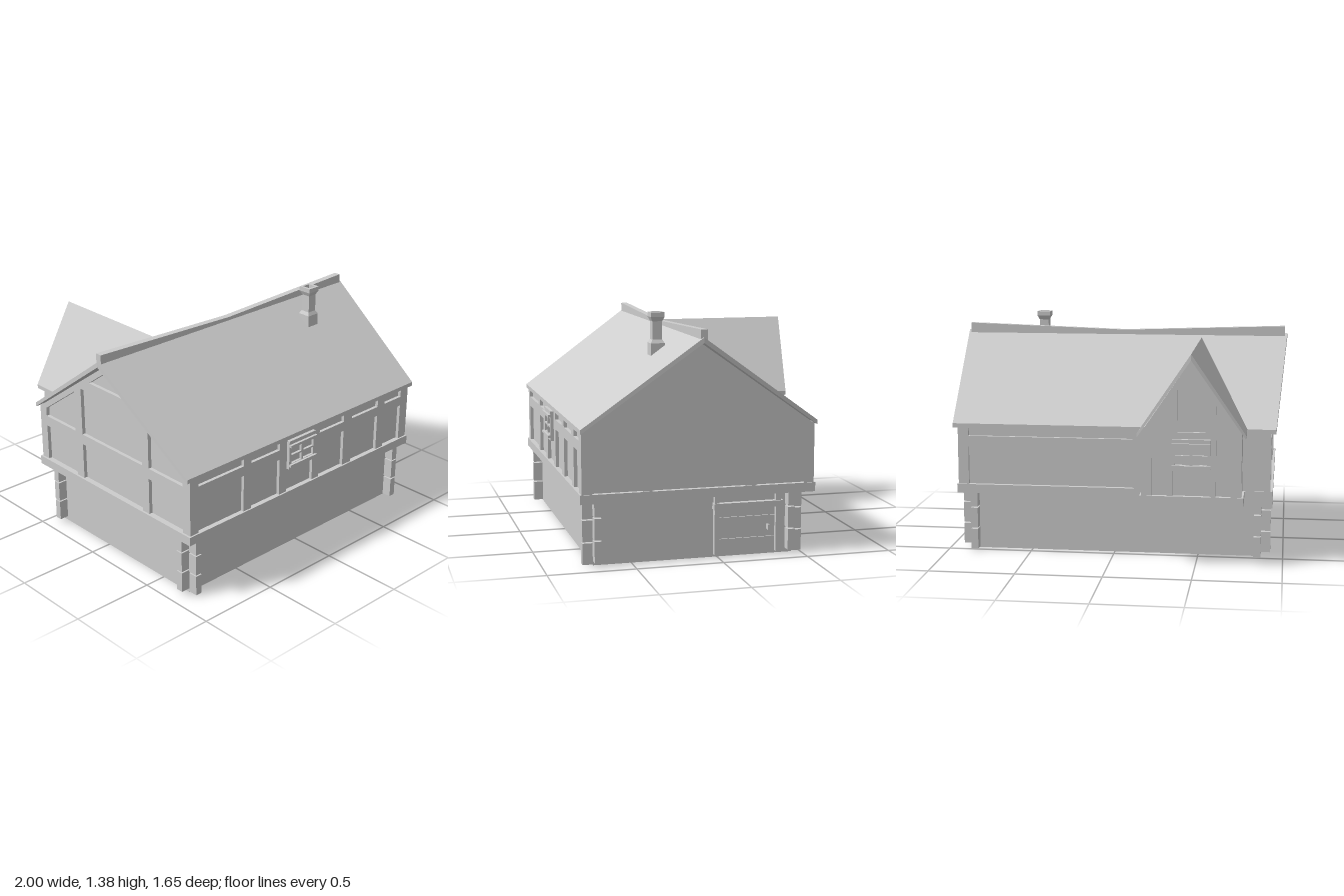
import * as THREE from 'three';

const grey = new THREE.MeshStandardMaterial({ color: 0xcccccc });
grey.name = 'plain grey';

function add(parent, name, geo) {
  const mesh = new THREE.Mesh(geo, grey);
  mesh.name = name;
  parent.add(mesh);
  return mesh;
}

// box given by its minimum and maximum on each axis
function box(parent, name, x0, x1, y0, y1, z0, z1) {
  const mesh = add(parent, name, new THREE.BoxGeometry(x1 - x0, y1 - y0, z1 - z0));
  mesh.position.set((x0 + x1) / 2, (y0 + y1) / 2, (z0 + z1) / 2);
  return mesh;
}

const toPoints = (pts) => pts.map(([a, b]) => new THREE.Vector2(a, b));
const rect = (a0, a1, b0, b1) => [[a0, b0], [a1, b0], [a1, b1], [a0, b1]];

function slab(outline, holes, depth) {
  const shape = new THREE.Shape(toPoints(outline));
  for (const h of holes) shape.holes.push(new THREE.Path(toPoints(h)));
  return new THREE.ExtrudeGeometry(shape, { depth, bevelEnabled: false });
}

// rewrite every vertex by a rule
function warp(geo, rule) {
  const p = geo.attributes.position;
  for (let i = 0; i < p.count; i++) p.setXYZ(i, ...rule(p.getX(i), p.getY(i), p.getZ(i)));
  geo.computeVertexNormals();
  return geo;
}

const RIDGE_Z = 0.117;
const gableTop = (z) => 1.24 - 0.71 * Math.abs(z - RIDGE_Z);
const DORMER_X = -0.475;
const dormerTop = (u) => 1.21 - 1.475 * Math.abs(u);

// window facing local +z, centred on x
function makeWindow() {
  const g = new THREE.Group();
  g.name = 'window';
  box(g, 'windowPane', -0.105, 0.105, 0.57, 0.75, -0.02, 0.004);
  const panes = [];
  for (const x of [-0.092, 0.008])
    for (const y of [0.605, 0.66]) panes.push(rect(x, x + 0.084, y, y + 0.045));
  add(g, 'windowFrame', slab(rect(-0.11, 0.11, 0.57, 0.752), panes, 0.02));
  box(g, 'windowSill', -0.11, 0.11, 0.588, 0.603, 0, 0.035);
  box(g, 'windowLintel', -0.11, 0.11, 0.714, 0.73, 0, 0.035);
  return g;
}

export function createModel() {
  const house = new THREE.Group();
  house.name = 'house';

  // ground floor walls, open underneath
  const ground = new THREE.Group();
  ground.name = 'groundFloor';
  house.add(ground);
  box(ground, 'frontWall', -0.87, 0.865, 0.005, 0.37, 0.71, 0.72);
  box(ground, 'backWall', -0.87, 0.865, 0.005, 0.37, -0.45, -0.44);
  box(ground, 'leftWall', 0.855, 0.865, 0.005, 0.37, -0.45, 0.72);
  box(ground, 'rightWall', -0.87, -0.86, 0.005, 0.37, -0.45, 0.72);

  // two staggered columns of stones at each corner
  const span = (a, b) => [Math.min(a, b), Math.max(a, b)];
  for (const [cx, sx] of [[-0.87, -1], [0.865, 1]])
    for (const [cz, sz] of [[0.72, 1], [-0.45, -1]])
      for (let i = 0; i < 3; i++) {
        const ya = 0.03 + i * 0.13, yb = 0.01 + i * 0.13;
        box(ground, 'cornerStone', ...span(cx, cx + sx * 0.056), ya, Math.min(ya + 0.122, 0.37),
          ...span(cz, cz - sz * 0.042));
        box(ground, 'cornerStone', ...span(cx, cx - sx * 0.042), yb, Math.min(yb + 0.122, 0.37),
          ...span(cz, cz + sz * 0.058));
      }

  // door
  const door = new THREE.Group();
  door.name = 'door';
  house.add(door);
  box(door, 'doorLeaf', 0.86, 0.87, 0.02, 0.365, -0.35, 0);
  for (const z of [0.022, -0.343]) box(door, 'doorJamb', 0.86, 0.895, 0.02, 0.368, z - 0.029, z);
  box(door, 'doorLintel', 0.86, 0.905, 0.285, 0.32, -0.385, 0.028);
  for (const y of [0.09, 0.215]) box(door, 'doorRail', 0.86, 0.879, y, y + 0.018, -0.34, -0.01);
  box(door, 'doorHandle', 0.86, 0.9, 0.15, 0.18, -0.306, -0.294);

  // overhanging upper floor
  const upper = new THREE.Group();
  upper.name = 'upperFloor';
  house.add(upper);
  box(upper, 'floorBand', -0.935, 0.93, 0.367, 0.42, -0.567, 0.8);
  const gable = (z0, z1) =>
    [[z0, 0.4], [z1, 0.4], [z1, gableTop(z1)], [RIDGE_Z, 1.24], [z0, gableTop(z0)]];
  const flip = (pts) => pts.map(([z, y]) => [-z, y]);
  const core = add(upper, 'plasterWalls', slab(flip(gable(-0.54, 0.77)), [], 1.8));
  core.rotation.y = Math.PI / 2;
  core.position.x = -0.9;

  // timber frame on both gable ends
  const under = (z) => [z, gableTop(z) - 0.04];
  const gableHoles = [
    rect(0.445, 0.73, 0.42, 0.645), rect(-0.15, 0.39, 0.42, 0.645), rect(-0.5, -0.215, 0.42, 0.645),
    [[0.445, 0.71], [0.73, 0.71], under(0.73), under(0.445)],
    rect(-0.15, 0.39, 0.71, 1.005),
    [[-0.5, 0.71], [-0.215, 0.71], under(-0.215), under(-0.5)],
    [[RIDGE_Z - 0.185, 1.066], [RIDGE_Z + 0.185, 1.066], under(RIDGE_Z)],
  ];
  for (const s of [1, -1]) {
    const turn = (pts) => (s > 0 ? flip(pts) : pts);
    const frame = add(upper, 'gableTimbers',
      slab(turn(gable(-0.56, 0.79)), gableHoles.map(turn), 0.022));
    frame.rotation.y = s * Math.PI / 2;
    frame.position.x = s * 0.9;
  }

  // timber frame on the front
  const bays = [[-0.86, -0.513], [-0.455, -0.225], [0.112, 0.326], [0.4, 0.636], [0.7, 0.855]];
  const frontHoles = [rect(-0.166, 0.054, 0.42, 0.57)];
  for (const [a, b] of bays) frontHoles.push(rect(a, b, 0.42, 0.65), rect(a, b, 0.71, 0.757));
  add(upper, 'frontTimbers', slab(rect(-0.922, 0.922, 0.4, 0.77), frontHoles, 0.02)).position.z = 0.77;
  const frontWindow = makeWindow();
  frontWindow.position.set(-0.055, 0, 0.79);
  upper.add(frontWindow);

  // timber frame on the back, where local x runs towards -x
  const back = add(upper, 'backTimbers', slab(rect(-0.922, 0.922, 0.4, 0.77),
    [rect(-0.86, 0.12, 0.42, 0.645), rect(-0.86, 0.12, 0.71, 0.757)], 0.02));
  back.rotation.y = Math.PI;
  back.position.z = -0.54;

  // main roof, wider at the ridge than at the eaves
  const chevron = (w, eave, top, drop) =>
    [[-w, eave], [-w, eave - 0.025], [0, top - drop], [w, eave - 0.025], [w, eave], [0, top]];
  add(house, 'mainRoof', warp(slab(chevron(0.683, 0.785, 1.275, 0.03), [], 1), (u, h, t) =>
    [(t - 0.5) * (2 - 0.1 * Math.abs(u) / 0.683), h, RIDGE_Z - u]));

  // ridge beam sagging in the middle
  add(house, 'ridgeBeam', warp(new THREE.BoxGeometry(1.97, 0.08, 0.04, 2, 1, 1).toNonIndexed(),
    (x, y, z) => [x, y > 0 ? 1.285 + 0.033 * Math.abs(x) / 0.985 : 1.245, z + 0.112]));

  // dormer body
  const dormer = new THREE.Group();
  dormer.name = 'dormer';
  house.add(dormer);
  box(dormer, 'dormerBand', DORMER_X - 0.297, DORMER_X + 0.297, 0.367, 0.42, -0.747, -0.4);
  const dormerShape = (w) => [[-w, 0.4], [w, 0.4], [w, dormerTop(w)], [0, 1.21], [-w, dormerTop(w)]];
  add(dormer, 'dormerWalls', slab(dormerShape(0.27), [], 0.4)).position.set(DORMER_X, 0, -0.72);
  const dormerHoles = [
    rect(-0.105, 0.105, 0.42, 0.57),
    [[-0.08, 0.79], [0.08, 0.79], [0.08, 1.03], [0, 1.14], [-0.08, 1.03]],
  ];
  for (const s of [1, -1])
    dormerHoles.push([[s * 0.14, 0.42], [s * 0.225, 0.42],
      [s * 0.225, dormerTop(0.225) - 0.06], [s * 0.14, dormerTop(0.14) - 0.06]]);
  const dormerFrame = add(dormer, 'dormerTimbers', slab(dormerShape(0.285), dormerHoles, 0.02));
  dormerFrame.rotation.y = Math.PI;
  dormerFrame.position.set(DORMER_X, 0, -0.72);
  const sideHoles = [rect(-0.025, 0.03, 0.42, 0.645), rect(-0.025, 0.03, 0.71, 0.75)];
  for (const s of [1, -1]) {
    const side = add(dormer, 'dormerSideTimbers', slab(rect(-0.09, 0.09, 0.4, 0.775),
      sideHoles.map((h) => h.map(([a, b]) => [s * a, b])), 0.015));
    side.rotation.y = s * Math.PI / 2;
    side.position.set(DORMER_X + s * 0.27, 0, -0.65);
  }
  const dormerWindow = makeWindow();
  dormerWindow.rotation.y = Math.PI;
  dormerWindow.position.set(DORMER_X, 0, -0.74);
  dormer.add(dormerWindow);

  // dormer roof, tapering into the main roof
  add(dormer, 'dormerRoof', warp(slab(chevron(0.308, 0.787, 1.245, 0.035), [], 1), (u, h, t) => {
    const k = Math.abs(u) / 0.308;
    return [DORMER_X + u, h, t < 0.5 ? -0.825 + 0.05 * k : 0.065 - 0.625 * k];
  }));

  // square chimney with a flared, hollow top
  const r = Math.SQRT2;
  const profile = [[0.041, 1.13], [0.041, 1.205], [0.029, 1.225], [0.029, 1.33], [0.041, 1.355],
    [0.041, 1.382], [0.026, 1.382], [0.022, 1.25], [0, 1.25]];
  const chimney = new THREE.LatheGeometry(toPoints(profile.map(([a, y]) => [a * r, y])), 4, Math.PI / 4)
    .toNonIndexed();
  chimney.computeVertexNormals();
  add(house, 'chimney', chimney).position.set(0.545, 0, 0.273);

  return house;
}
